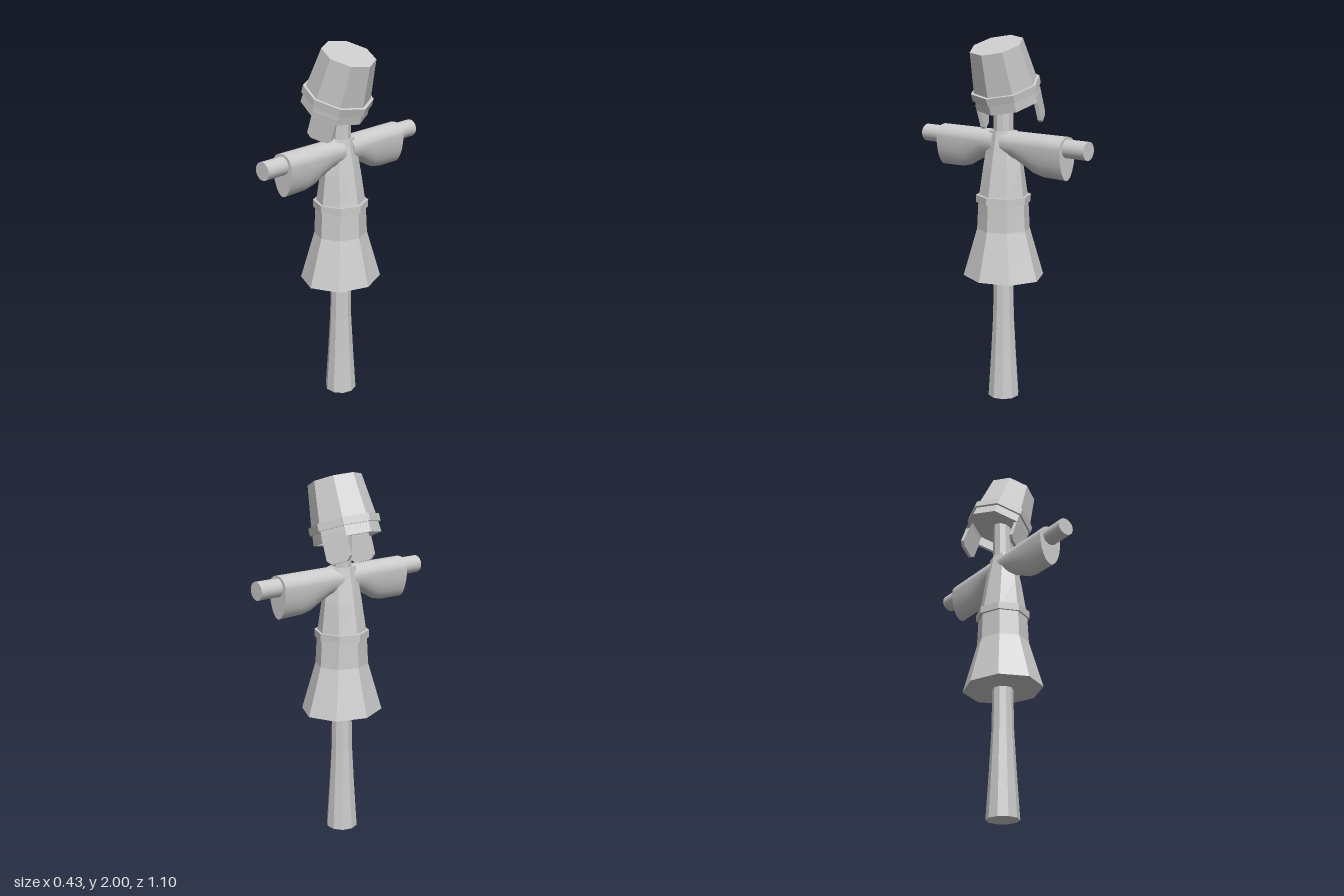
import * as THREE from 'three';

const grey = new THREE.MeshStandardMaterial({ color: 0xcccccc });
grey.name = 'plain grey';

// Ring of points in the xz plane at height y
function ring(y, rx, rz, sides) {
  return Array.from({ length: sides }, (_, i) => {
    const a = (i / sides) * Math.PI * 2;
    return [rx * Math.cos(a), y, -rz * Math.sin(a)];
  });
}

// Skin through rings with flat caps; faceted unless smooth
function loft(rings, smooth = false) {
  const n = rings[0].length;
  const pos = rings.flat(2);
  const idx = [];
  for (let r = 0; r < rings.length - 1; r++) {
    for (let i = 0; i < n; i++) {
      const a = r * n + i, b = r * n + ((i + 1) % n);
      idx.push(a, b, b + n, a, b + n, a + n);
    }
  }
  for (const [cap, up] of [[rings[0], false], [rings[rings.length - 1], true]]) {
    const start = pos.length / 3;
    pos.push(...cap.flat());
    for (let i = 1; i < n - 1; i++) {
      idx.push(start, start + (up ? i : i + 1), start + (up ? i + 1 : i));
    }
  }
  let g = new THREE.BufferGeometry();
  g.setAttribute('position', new THREE.Float32BufferAttribute(pos, 3));
  g.setIndex(idx);
  if (!smooth) g = g.toNonIndexed();
  g.computeVertexNormals();
  return g;
}

function add(parent, name, geometry) {
  const mesh = new THREE.Mesh(geometry, grey);
  mesh.name = name;
  parent.add(mesh);
  return mesh;
}

export function createModel() {
  const model = new THREE.Group();
  model.name = 'trainingDummy';

  // Ten-sided post, flared at the foot, running up into the helmet
  const post = [[0, 0.088], [0.25, 0.072], [0.47, 0.06], [0.7, 0.056], [1.8, 0.054]];
  add(model, 'post', loft(post.map(([y, r]) => ring(y, r, r, 10))));

  // Eight-sided tunic with flared skirt
  const tunic = [
    [0.705, 0.21, 0.23], [0.97, 0.14, 0.148], [1.13, 0.134, 0.138],
    [1.32, 0.1, 0.115], [1.505, 0.062, 0.085],
  ];
  add(model, 'tunic', loft(tunic.map(([y, rx, rz]) => ring(y, rx, rz, 8))));
  add(model, 'belt', loft([1.117, 1.157].map((y) => ring(y, 0.149, 0.149, 8))));

  // Crossbar arms
  const bar = add(model, 'crossbar', new THREE.CylinderGeometry(0.048, 0.048, 1.1, 24));
  bar.rotation.x = Math.PI / 2;
  bar.position.set(0.005, 1.447, 0);

  // Sleeves: round on top, drooping below, deeper towards the cuff
  const droop = [[0.03, 0.075], [0.1, 0.085], [0.16, 0.115], [0.22, 0.148], [0.28, 0.162], [0.42, 0.165]];
  const sleeve = loft(droop.map(([t, drop]) => Array.from({ length: 24 }, (_, i) => {
    const a = (i / 24) * Math.PI * 2, s = Math.sin(a);
    return [0.069 * Math.cos(a), t, -s * (s > 0 ? 0.063 : drop)];
  })), true);
  sleeve.rotateX(Math.PI / 2);
  for (const [name, turn] of [['frontSleeve', 0], ['backSleeve', Math.PI]]) {
    const mesh = add(model, name, sleeve);
    mesh.rotation.y = turn;
    mesh.position.set(0.005, 1.445, 0);
  }

  // Tilted, hollow bucket helmet
  const helmet = new THREE.Group();
  helmet.name = 'helmet';
  helmet.position.set(-0.047, 1.655, 0);
  helmet.rotation.set(0, 0.08, -0.34, 'ZYX');
  model.add(helmet);
  const shell = [[0.27, 0.135], [0, 0.163], [0, 0.181], [0.09, 0.174], [0.317, 0.144]];
  add(helmet, 'helmetShell', loft(shell.map(([y, r]) => ring(y, r, r, 8))));
  add(helmet, 'helmetBand', loft([0.055, 0.096].map((y) => ring(y, 0.189, 0.189, 8))));

  // Cheek flaps hanging from two opposite sides
  const outline = new THREE.Shape([
    [-0.068, 0.03], [-0.068, -0.1], [-0.045, -0.122], [0.045, -0.122], [0.068, -0.1], [0.068, 0.03],
  ].map(([x, y]) => new THREE.Vector2(x, y)));
  const flap = new THREE.ExtrudeGeometry(outline, { depth: 0.02, bevelEnabled: false });
  flap.translate(0, 0, 0.147);
  for (const [name, turn] of [['frontFlap', 0], ['backFlap', Math.PI]]) {
    add(helmet, name, flap).rotation.y = Math.PI / 8 + turn;
  }
  return model;
}
